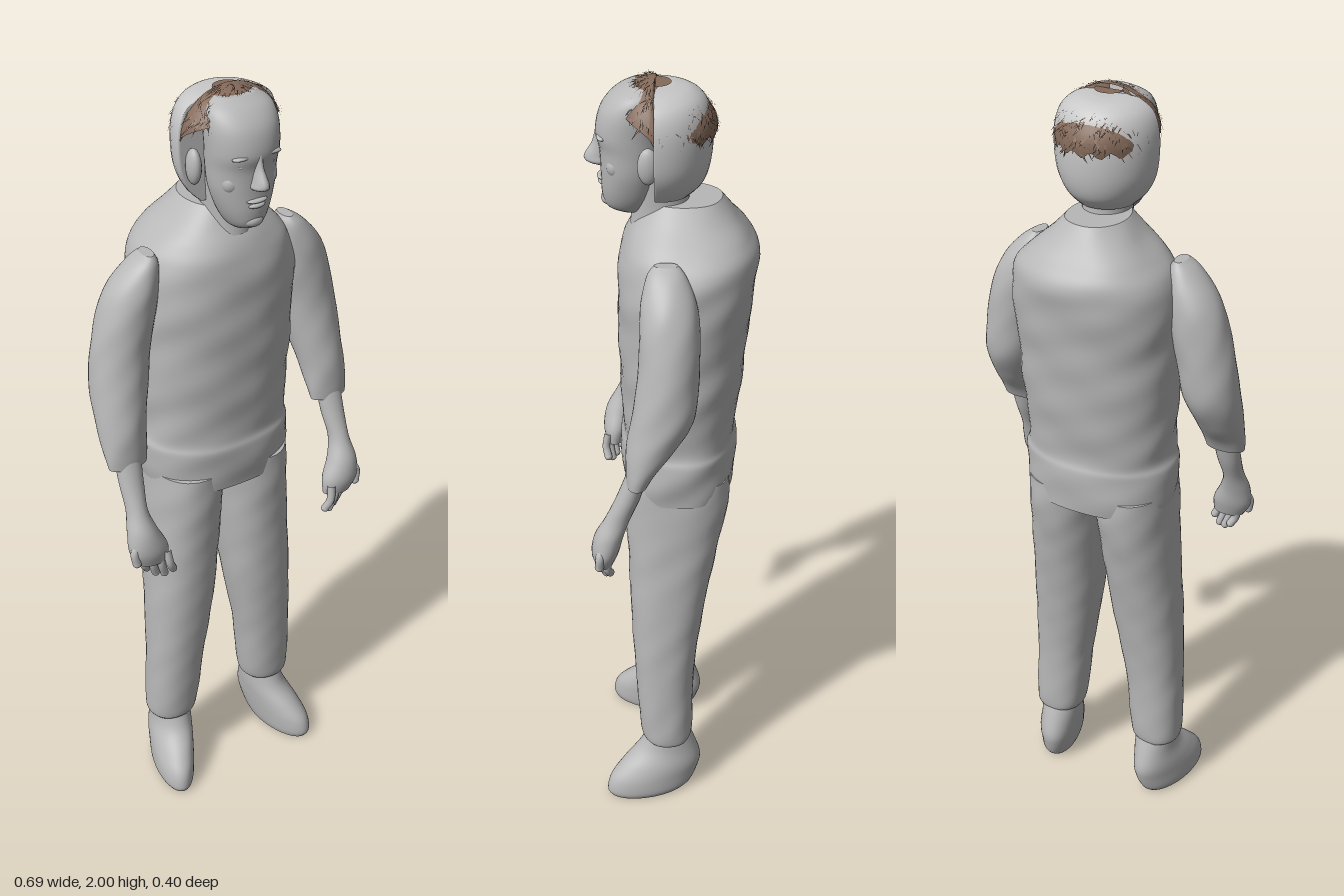
import * as THREE from 'three';

const mat = (name, color, side = THREE.FrontSide) => {
  const m = new THREE.MeshStandardMaterial({ color, side });
  m.name = name;
  return m;
};

// Smooth loft through horizontal rings [y, centreX, zBack, zFront, radiusX, skew], listed upwards.
function loft(rings, { power = 1, ripple = 0, steps = 6, sides = 40, clampZ = Infinity } = {}) {
  const n = rings.length;
  const spline = (k, t) => {
    const i = Math.min(Math.floor(t), n - 2), f = t - i;
    const p = (q) => rings[Math.max(0, Math.min(n - 1, q))][k] ?? 0;
    const m0 = (p(i + 1) - p(i - 1)) / 2, m1 = (p(i + 2) - p(i)) / 2, f2 = f * f, f3 = f2 * f;
    return p(i) * (2 * f3 - 3 * f2 + 1) + m0 * (f3 - 2 * f2 + f) + p(i + 1) * (3 * f2 - 2 * f3) + m1 * (f3 - f2);
  };
  const pos = [], idx = [], rows = (n - 1) * steps;
  const round = (v) => Math.sign(v) * Math.abs(v) ** power;
  for (let r = 0; r <= rows; r++) {
    const [y, cx, zb, zf, rx, skew] = [0, 1, 2, 3, 4, 5].map((k) => spline(k, r / steps));
    for (let j = 0; j < sides; j++) {
      const a = (j / sides) * Math.PI * 2;
      const fold = 1 + ripple * (Math.sin(y * 37 + 3 * Math.sin(a * 2)) + Math.sin(y * 61 + a * 5) * 0.6);
      const dz = round(Math.sin(a)) * (zf - zb) / 2 * fold;
      pos.push(cx + round(Math.cos(a)) * rx * fold + skew * dz, y, Math.min((zb + zf) / 2 + dz, clampZ));
    }
  }
  for (let r = 0; r < rows; r++) for (let j = 0; j < sides; j++) {
    const a = r * sides + j, b = r * sides + (j + 1) % sides;
    idx.push(a, a + sides, b, b, a + sides, b + sides);
  }
  // End caps have their own corners so the rims stay crisp
  for (const r of [0, rows]) {
    const base = pos.length / 3;
    pos.push(...pos.slice(r * sides * 3, (r + 1) * sides * 3));
    for (let j = 1; j < sides - 1; j++) idx.push(base, base + (r ? j + 1 : j), base + (r ? j : j + 1));
  }
  const g = new THREE.BufferGeometry();
  g.setAttribute('position', new THREE.Float32BufferAttribute(pos, 3));
  g.setIndex(idx);
  g.computeVertexNormals();
  return g;
}

export function createModel() {
  const model = new THREE.Group();
  const grey = mat('body grey', 0xb8b8b8);
  const pale = mat('pale scalp', 0xc8c8c8);
  const brown = mat('brown hair', 0x846a5a, THREE.DoubleSide);
  const add = (name, geo, material = grey, parent = model) => {
    const m = new THREE.Mesh(geo, material);
    m.name = name;
    parent.add(m);
    return m;
  };
  const blob = (name, x, y, z, rx, ry, rz, parent) => {
    const m = add(name, new THREE.SphereGeometry(1, 18, 12), grey, parent);
    m.position.set(x, y, z);
    m.scale.set(rx, ry, rz);
    return m;
  };

  // Shirt body with a loose hem
  add('shirt', loft([
    [0.975, 0.003, -0.15, 0.125, 0.19], [1.03, 0.003, -0.155, 0.13, 0.196], [1.09, 0.003, -0.155, 0.132, 0.196],
    [1.13, 0.003, -0.15, 0.125, 0.187], [1.25, 0.004, -0.165, 0.13, 0.193], [1.42, 0.006, -0.18, 0.133, 0.2],
    [1.54, 0.008, -0.193, 0.13, 0.203], [1.6, 0.008, -0.196, 0.122, 0.188], [1.64, 0.007, -0.175, 0.108, 0.155],
    [1.68, 0.006, -0.142, 0.085, 0.11], [1.72, 0.006, -0.11, 0.06, 0.072],
  ], { power: 0.88, ripple: 0.009, steps: 8, sides: 56 }));

  for (const s of [1, -1]) {
    const side = s > 0 ? 'left' : 'right';
    const limb = (rings, opts) => loft(rings.map(([y, x, b, f, r, k = 0]) => [y, x * s, b, f, r, k * s]), opts);

    // Trouser leg
    add(side + 'TrouserLeg', limb([
      [0.185, 0.153, -0.045, 0.075, 0.062], [0.22, 0.15, -0.052, 0.088, 0.07], [0.4, 0.138, -0.055, 0.1, 0.077],
      [0.6, 0.119, -0.078, 0.11, 0.09], [0.8, 0.104, -0.112, 0.116, 0.094], [0.94, 0.096, -0.138, 0.123, 0.095],
      [1.02, 0.094, -0.14, 0.12, 0.092],
    ], { power: 0.9, ripple: 0.008 }));

    // Shoe, turned slightly outwards
    add(side + 'Shoe', limb([
      [0, 0.178, -0.035, 0.175, 0.048, 0.2], [0.02, 0.178, -0.052, 0.182, 0.055, 0.2],
      [0.06, 0.172, -0.068, 0.172, 0.058, 0.2], [0.1, 0.163, -0.075, 0.14, 0.058, 0.15],
      [0.15, 0.152, -0.062, 0.092, 0.054, 0.05], [0.21, 0.15, -0.04, 0.065, 0.052],
    ]));

    // Sleeve with an open-looking cuff
    add(side + 'Sleeve', limb([
      [1.125, 0.288, 0.055, 0.108, 0.05], [1.16, 0.287, 0.035, 0.108, 0.055], [1.22, 0.283, -0.01, 0.106, 0.06],
      [1.3, 0.272, -0.053, 0.092, 0.068], [1.4, 0.257, -0.061, 0.078, 0.071], [1.5, 0.235, -0.062, 0.074, 0.068],
      [1.56, 0.217, -0.052, 0.07, 0.058], [1.61, 0.196, -0.03, 0.058, 0.035], [1.632, 0.185, -0.012, 0.042, 0.014],
    ], { ripple: 0.009 }));

    // Forearm and palm
    add(side + 'Forearm', limb([
      [0.88, 0.272, 0.142, 0.188, 0.04], [0.92, 0.282, 0.128, 0.195, 0.05], [0.97, 0.292, 0.116, 0.186, 0.038],
      [1.02, 0.294, 0.1, 0.16, 0.026], [1.08, 0.291, 0.075, 0.132, 0.03], [1.15, 0.288, 0.055, 0.105, 0.034],
    ], { sides: 24 }));

    // Fingers and thumb
    const digit = (name, pts, r) => {
      const v = pts.map(([x, y, z]) => new THREE.Vector3(x * s, y, z));
      add(side + name, new THREE.TubeGeometry(new THREE.CatmullRomCurve3(v), 10, r, 10));
      const tip = v[v.length - 1];
      blob(side + name + 'Tip', tip.x, tip.y, tip.z, r, r, r);
    };
    for (let i = 0; i < 4; i++) {
      const x = 0.3 - i * 0.019, z = 0.152 + i * 0.01, low = [0.85, 0.835, 0.832, 0.845][i];
      digit('Finger' + (i + 1), [[x, 0.91, z], [x - 0.005, 0.87, z + 0.006], [x - 0.016, low, z]], 0.0105);
    }
    digit('Thumb', [[0.31, 0.95, 0.165], [0.325, 0.925, 0.172], [0.322, 0.895, 0.175]], 0.011);
  }

  // Head group, set a touch off the body's midline
  const head = new THREE.Group();
  head.name = 'head';
  head.position.x = 0.012;
  model.add(head);
  add('neck', loft([[1.66, 0, -0.06, 0.1, 0.062], [1.72, 0, -0.035, 0.095, 0.058], [1.82, 0, -0.04, 0.1, 0.062]]), grey, head);
  add('face', loft([
    [1.69, 0, 0.06, 0.128, 0.025], [1.705, 0, 0.05, 0.154, 0.042], [1.74, 0, 0.035, 0.163, 0.06],
    [1.79, 0, 0.025, 0.164, 0.075], [1.84, 0, 0.02, 0.166, 0.08], [1.88, 0, 0.02, 0.174, 0.083],
    [1.93, 0, 0.02, 0.163, 0.084], [1.965, 0, 0.025, 0.135, 0.076], [1.985, 0, 0.035, 0.1, 0.05],
  ], { power: 0.95 }), grey, head);
  add('nose', loft([
    [1.797, 0, 0.145, 0.17, 0.012], [1.806, 0, 0.14, 0.196, 0.019], [1.82, 0, 0.14, 0.2, 0.016],
    [1.85, 0, 0.14, 0.182, 0.01], [1.88, 0, 0.14, 0.174, 0.009],
  ], { sides: 16 }), grey, head);
  blob('upperLip', 0, 1.771, 0.16, 0.026, 0.006, 0.013, head);
  blob('lowerLip', 0, 1.759, 0.158, 0.022, 0.007, 0.013, head);
  blob('chin', 0, 1.718, 0.148, 0.024, 0.016, 0.017, head);
  for (const s of [1, -1]) {
    blob('brow', s * 0.035, 1.877, 0.157, 0.026, 0.006, 0.013, head).rotation.z = s * -0.1;
    blob('eye', s * 0.034, 1.854, 0.15, 0.016, 0.007, 0.012, head);
    blob('cheek', s * 0.045, 1.81, 0.128, 0.024, 0.026, 0.022, head);
    blob('ear', s * 0.096, 1.83, 0.055, 0.016, 0.042, 0.024, head);
  }

  // Rear skull shell, cut flat just behind the face
  add('skullShell', loft([
    [1.735, 0, -0.04, 0.1, 0.07], [1.765, 0, -0.068, 0.14, 0.098], [1.81, 0, -0.083, 0.16, 0.119],
    [1.87, 0, -0.088, 0.165, 0.126], [1.92, 0, -0.083, 0.16, 0.122], [1.955, 0, -0.068, 0.15, 0.106],
    [1.975, 0, -0.04, 0.12, 0.075], [1.981, 0, -0.005, 0.09, 0.04],
  ], { clampZ: 0.042 }), pale, head);

  // Hair: strip of the head's oval between two heights, over an angle range measured from +x towards the front
  const hairPoint = (a, t) => {
    const r = Math.cos(t), front = Math.sin(a) > 0;
    return new THREE.Vector3(Math.cos(a) * r * 0.121, 1.89 + Math.sin(t) * (front ? 0.107 : 0.096),
      0.04 + Math.sin(a) * r * (front ? 0.102 : 0.137));
  };
  const hairSheet = (name, a0, a1, low, high) => {
    const g = new THREE.PlaneGeometry(1, 1, 40, 10), p = g.attributes.position;
    for (let i = 0; i < p.count; i++) {
      const a = a0 + (p.getX(i) + 0.5) * (a1 - a0), v = p.getY(i) + 0.5;
      const q = hairPoint(a, low(a) + v * (high - low(a)));
      p.setXYZ(i, q.x, q.y, q.z);
    }
    g.computeVertexNormals();
    add(name, g, brown, head);
  };
  const hairline = (a) => (Math.sin(a) > 0 ? -0.05 + 0.6 * Math.sin(a) ** 0.6 : -0.12 + 0.08 * Math.sin(a * 17));
  hairSheet('frontHair', 0, Math.PI, hairline, Math.PI / 2);
  hairSheet('backHair', Math.PI, Math.PI * 2, hairline, 0.93);
  const crown = add('crownHair', new THREE.CircleGeometry(0.035, 20, 0, Math.PI), brown, head);
  crown.rotation.x = -Math.PI / 2;
  crown.position.set(0, 1.987, 0.04);

  // Short ragged strands lying over the hair
  let seed = 7;
  const rand = () => (seed = (seed * 16807) % 2147483647) / 2147483647;
  const strands = [];
  for (let i = 0; i < 420; i++) {
    const a = rand() * Math.PI * 2, lo = hairline(a), hi = Math.sin(a) > 0 ? 1.4 : 0.9;
    const t = lo + rand() * (hi - lo), lean = (rand() - 0.5) * 0.5;
    const root = hairPoint(a, t), side = hairPoint(a + 0.05, t + 0.03), tip = hairPoint(a + lean, t - 0.12 - rand() * 0.12);
    const c = new THREE.Vector3(0, 1.89, 0.04);
    tip.sub(c).multiplyScalar(1.02 + rand() * 0.05).add(c);
    for (const q of [root, side, tip]) strands.push(q.x, Math.min(q.y + 0.002, 2), q.z);
  }
  const g = new THREE.BufferGeometry();
  g.setAttribute('position', new THREE.Float32BufferAttribute(strands, 3));
  g.computeVertexNormals();
  add('hairStrands', g, brown, head);

  return model;
}
